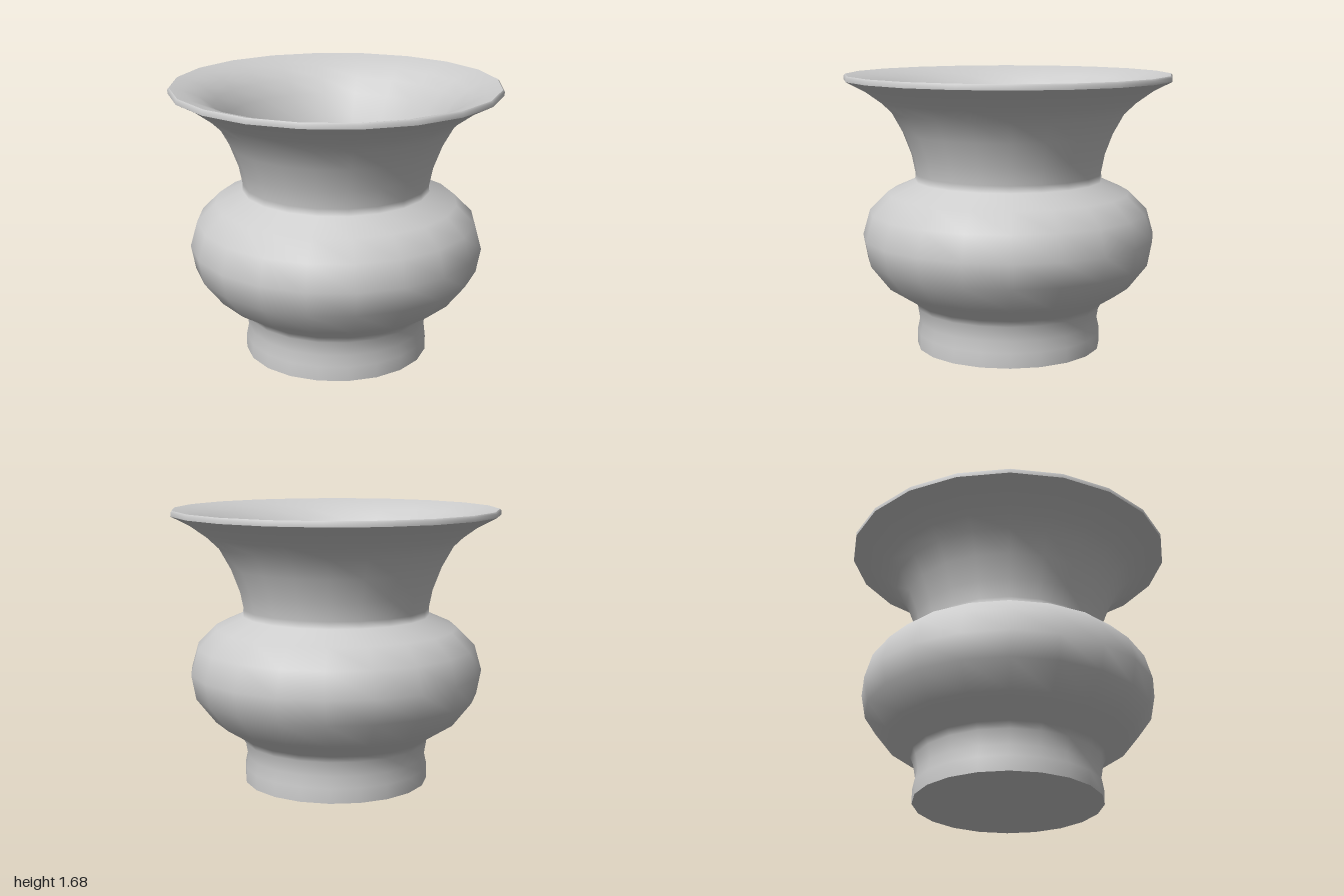
import * as THREE from 'three';

const SIDES = 20;

export function createModel() {
  const vase = new THREE.Group();
  vase.name = 'vase';
  const material = new THREE.MeshStandardMaterial({ color: 0xcccccc });

  const add = (name, geometry) => {
    const mesh = new THREE.Mesh(geometry, material);
    mesh.name = name;
    vase.add(mesh);
    return mesh;
  };
  // Smooth surface of revolution; separate calls keep an edge between them sharp
  const turn = (name, profile) =>
    add(name, new THREE.LatheGeometry(profile.map(([r, y]) => new THREE.Vector2(r, y)), SIDES));
  const disc = (name, radius, y, up) => {
    const mesh = add(name, new THREE.CircleGeometry(radius, SIDES));
    mesh.rotation.x = up ? -Math.PI / 2 : Math.PI / 2;
    mesh.position.y = y;
  };

  // Foot, round belly and flared neck
  turn('outerBody', [
    [0.57, 0], [0.57, 0.09], [0.555, 0.16], [0.57, 0.25], [0.59, 0.29],
    [0.755, 0.395], [0.872, 0.545], [0.9, 0.695], [0.856, 0.85], [0.743, 0.963],
    [0.575, 1.037], [0.572, 1.08], [0.594, 1.19], [0.647, 1.33], [0.717, 1.455],
    [0.79, 1.524], [0.888, 1.594], [1, 1.652],
  ]);

  // Narrow lip
  turn('rim', [[1, 1.652], [1, 1.675], [0.99, 1.685]]);

  // Inside of the flared mouth
  turn('innerMouth', [
    [0.99, 1.685], [0.91, 1.665], [0.82, 1.63], [0.74, 1.57], [0.665, 1.48],
    [0.59, 1.34], [0.535, 1.2], [0.51, 1.08],
  ]);

  disc('innerFloor', 0.51, 1.08, true);
  disc('underside', 0.57, 0, false);

  return vase;
}
